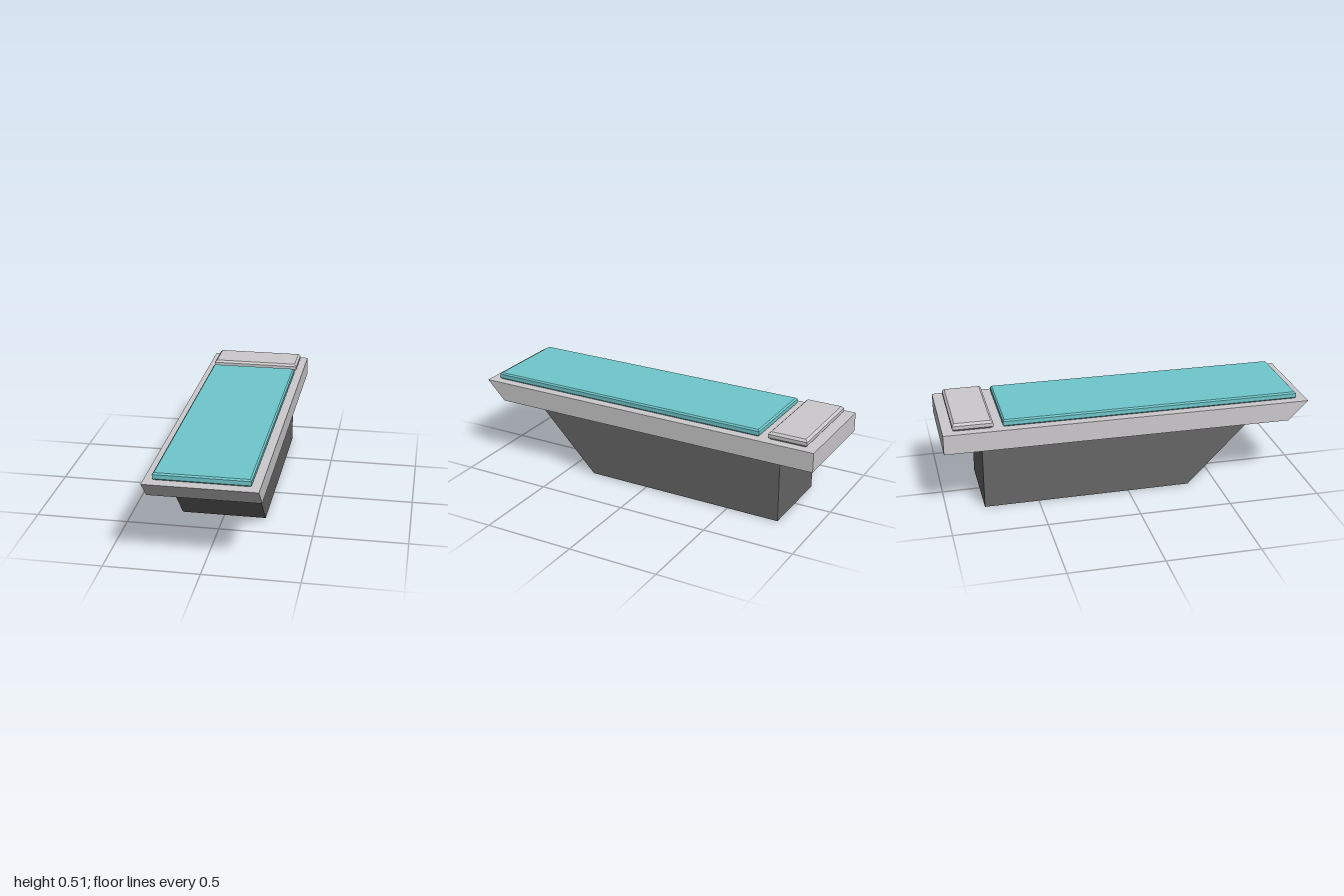
import * as THREE from 'three';

const makeMaterial = (name, color) => {
  const m = new THREE.MeshStandardMaterial({ color });
  m.name = name;
  return m;
};

// Side profile of [z, y] points, extruded across the width
function sideExtrusion(name, points, width, material) {
  const shape = new THREE.Shape(points.map(([z, y]) => new THREE.Vector2(z, y)));
  const geometry = new THREE.ExtrudeGeometry(shape, { depth: width, bevelEnabled: false });
  geometry.translate(0, 0, -width / 2).rotateY(-Math.PI / 2);
  const mesh = new THREE.Mesh(geometry, material);
  mesh.name = name;
  return mesh;
}

// Flat pad with chamfered top and bottom edges
function cushion(name, halfWidth, zBack, zFront, yBottom, yTop, chamfer, material) {
  const x = halfWidth - chamfer;
  const z = (zFront - zBack) / 2 - chamfer;
  const shape = new THREE.Shape([[-x, -z], [x, -z], [x, z], [-x, z]].map((p) => new THREE.Vector2(...p)));
  const rise = Math.min(chamfer, (yTop - yBottom) * 0.3);
  const geometry = new THREE.ExtrudeGeometry(shape, {
    depth: yTop - yBottom - 2 * rise,
    bevelSize: chamfer, bevelThickness: rise, bevelSegments: 1,
  });
  geometry.translate(0, 0, rise).rotateX(-Math.PI / 2);
  const mesh = new THREE.Mesh(geometry, material);
  mesh.position.set(0, yBottom, (zBack + zFront) / 2);
  mesh.name = name;
  return mesh;
}

export function createModel() {
  const paleGrey = makeMaterial('pale grey', 0xcccacc);
  const darkGrey = makeMaterial('dark grey', 0x666666);
  const teal = makeMaterial('teal', 0x70c8cc);

  const bed = new THREE.Group();
  bed.name = 'bed';
  bed.add(
    // Pedestal with a raked front
    sideExtrusion('pedestal', [[-0.795, 0], [0.34, 0.005], [0.69, 0.36], [-0.795, 0.36]], 0.456, darkGrey),
    // Platform with an undercut foot end
    sideExtrusion('platform', [[-1, 0.36], [0.893, 0.36], [1, 0.467], [-1, 0.467]], 0.578, paleGrey),
    cushion('mattress', 0.245, -0.68, 0.945, 0.467, 0.505, 0.008, teal),
    cushion('pillow', 0.25, -0.947, -0.732, 0.467, 0.51, 0.012, paleGrey),
  );
  return bed;
}
